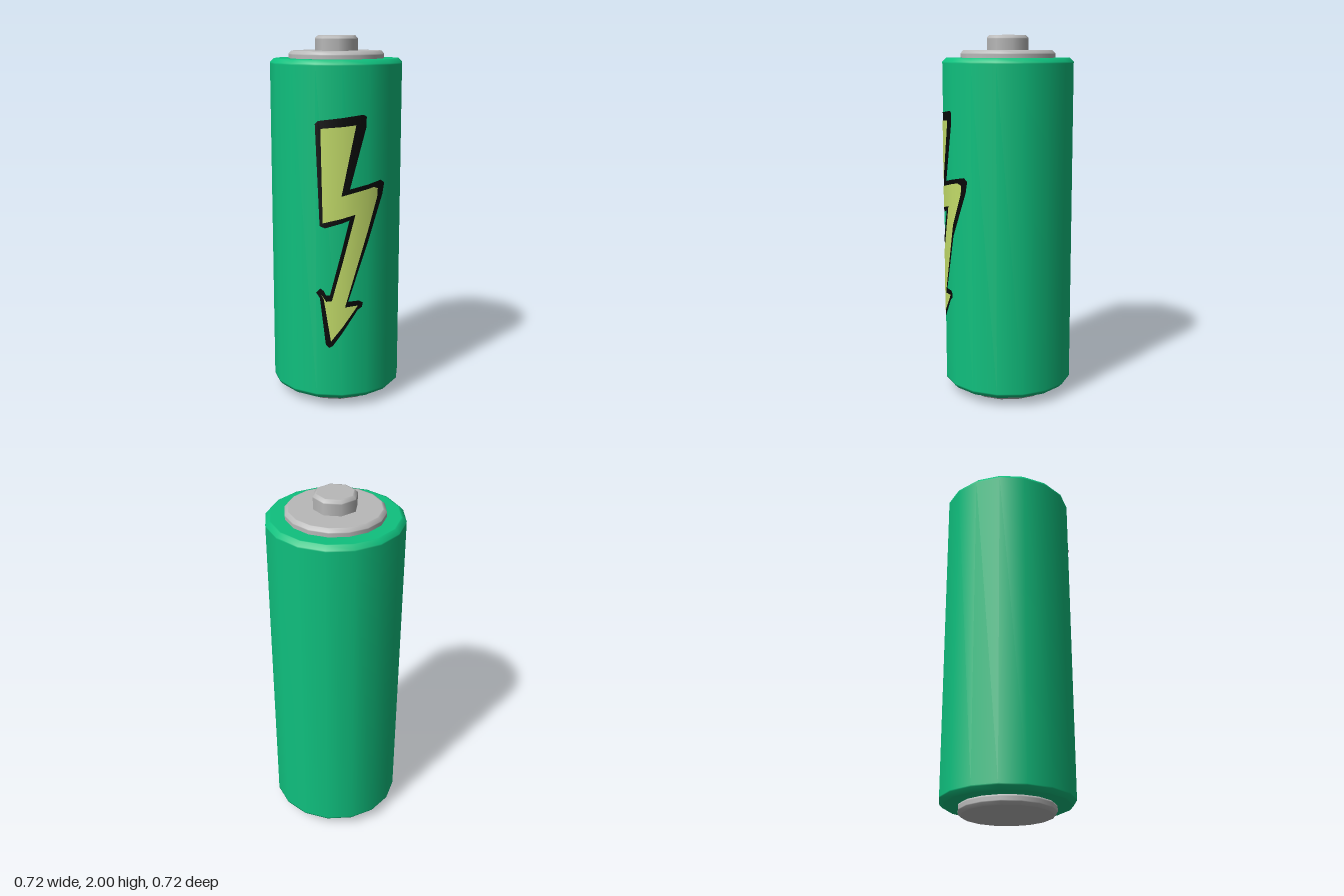
import * as THREE from 'three';

const mat = (name, color) => {
  const m = new THREE.MeshStandardMaterial({ color });
  m.name = name;
  return m;
};

const R = 0.36;
const SIDES = 16;

// Closed, bevelled disc or barrel; support points keep the bevels tight
function barrel(name, r, y0, y1, bevel, sides, material) {
  const b = bevel, s = bevel * 0.4;
  const pts = [
    [0, y0], [r - b - s, y0], [r - b, y0], [r, y0 + b], [r, y0 + b + s],
    [r, y1 - b - s], [r, y1 - b], [r - b, y1], [r - b - s, y1], [0, y1],
  ].map(([x, y]) => new THREE.Vector2(x, y));
  const mesh = new THREE.Mesh(new THREE.LatheGeometry(pts, sides), material);
  mesh.name = name;
  return mesh;
}

// Keep the part of a convex polygon with sign * (x - limit) >= 0
function clip(poly, limit, sign) {
  const out = [];
  poly.forEach((a, i) => {
    const b = poly[(i + 1) % poly.length];
    const da = sign * (a.x - limit), db = sign * (b.x - limit);
    if (da >= 0) out.push(a);
    if (da * db < 0) out.push(a.clone().lerp(b, da / (da - db)));
  });
  return out;
}

// Flat outline wrapped onto the front facets of the body
function decal(name, outline, lift, material) {
  const flat = new THREE.ShapeGeometry(
    new THREE.Shape(outline.map(([x, y]) => new THREE.Vector2(x, y)))).toNonIndexed();
  const p = flat.attributes.position;
  const corner = (k) => {
    const a = (k * Math.PI * 2) / SIDES;
    return [R * Math.sin(a), R * Math.cos(a)];
  };
  const pos = [], nor = [];
  for (let t = 0; t < p.count; t += 3) {
    const tri = [0, 1, 2].map((j) => new THREE.Vector2(p.getX(t + j), p.getY(t + j)));
    for (let k = -2; k < 2; k++) {
      const [xa, za] = corner(k), [xb, zb] = corner(k + 1);
      const piece = clip(clip(tri, xa, 1), xb, -1);
      for (let i = 1; i + 1 < piece.length; i++) {
        for (const v of [piece[0], piece[i], piece[i + 1]]) {
          const z = za + ((zb - za) * (v.x - xa)) / (xb - xa);
          const len = Math.hypot(v.x, z);
          pos.push(v.x, v.y, z + lift);
          nor.push(v.x / len, 0, z / len);
        }
      }
    }
  }
  const g = new THREE.BufferGeometry();
  g.setAttribute('position', new THREE.Float32BufferAttribute(pos, 3));
  g.setAttribute('normal', new THREE.Float32BufferAttribute(nor, 3));
  const mesh = new THREE.Mesh(g, material);
  mesh.name = name;
  return mesh;
}

export function createModel() {
  const green = mat('green casing', 0x0fc07e);
  const grey = mat('grey metal', 0xb8b8b8);
  const black = mat('black outline', 0x070707);
  const yellow = mat('yellow bolt', 0xc3dc69);

  const model = new THREE.Group();
  model.name = 'battery';

  // Casing and metal ends
  model.add(
    barrel('casing', R, 0.05, 1.88, 0.02, SIDES, green),
    barrel('bottomCap', 0.26, 0, 0.06, 0.015, SIDES, grey),
    barrel('topCap', 0.26, 1.86, 1.92, 0.015, SIDES, grey),
    barrel('terminal', 0.116, 1.9, 2, 0.014, 8, grey),
  );

  // Lightning arrow: black border below, yellow fill above
  const border = [
    [-0.14, 1.56], [-0.125, 1.575], [0.11, 1.605], [0.127, 1.595], [0.125, 1.54],
    [0.04, 1.22], [0.21, 1.258], [0.23, 1.24], [0.22, 1.18],
    [0.032, 0.61], [0.09, 0.612], [0.113, 0.6], [0.108, 0.575], [0.085, 0.56],
    [-0.05, 0.36], [-0.07, 0.348], [-0.087, 0.365], [-0.118, 0.63],
    [-0.138, 0.66], [-0.115, 0.683], [-0.098, 0.67], [-0.085, 0.645], [-0.065, 0.645],
    [0.038, 1.055], [-0.09, 1.013], [-0.118, 1.025],
  ];
  const fill = [
    [-0.112, 1.535], [0.072, 1.552], [-0.005, 1.185], [0.17, 1.225], [0.193, 1.215],
    [0.19, 1.17], [0.015, 0.58], [0.085, 0.585], [0.07, 0.562], [-0.06, 0.385],
    [-0.098, 0.625], [-0.113, 0.655], [-0.085, 0.61], [-0.055, 0.615],
    [0.07, 1.085], [-0.102, 1.04],
  ];
  model.add(
    decal('boltBorder', border, 0.0015, black),
    decal('boltFill', fill, 0.003, yellow),
  );
  return model;
}
